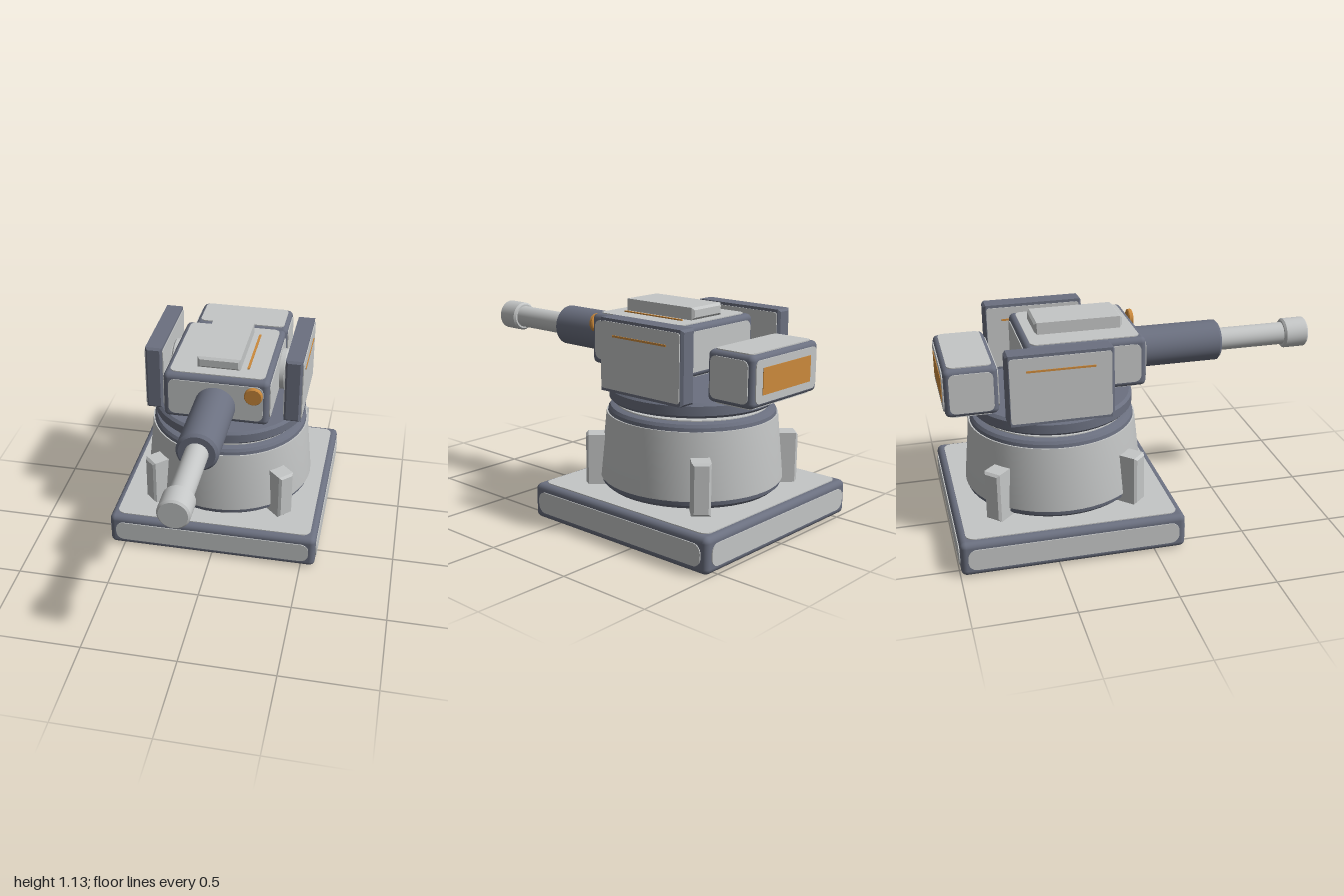
import * as THREE from 'three';
import { toCreasedNormals } from 'three/addons/utils/BufferGeometryUtils.js';
import { RoundedBoxGeometry } from 'three/addons/geometries/RoundedBoxGeometry.js';

const flat = (name, color) => {
  const m = new THREE.MeshStandardMaterial({ color });
  m.name = name;
  return m;
};

export function createModel() {
  const light = flat('light grey', 0xc4c6c6);
  const dark = flat('slate grey', 0x6b7080);
  const orange = flat('amber', 0xcc8a3c);
  const model = new THREE.Group();
  model.name = 'turret';
  const CZ = -0.417; // turning axis

  const add = (name, geo, mat, x = 0, y = 0, z = 0, parent = model) => {
    const mesh = new THREE.Mesh(geo, mat);
    mesh.name = name;
    mesh.position.set(x, y, z);
    parent.add(mesh);
    return mesh;
  };

  // Solid of revolution from [radius, height] points, bottom to top
  const turned = (pts, segments = 48) => toCreasedNormals(
    new THREE.LatheGeometry(pts.map(([r, h]) => new THREE.Vector2(r, h)), segments), 0.4);

  // Cylinder with chamfered rims
  const drum = (r, y0, y1, c, segments) => turned(
    [[0, y0], [r - c, y0], [r, y0 + c], [r, y1 - c], [r - c, y1], [0, y1]], segments);

  const roundedRect = (w, h, r) => {
    const s = new THREE.Shape();
    const x = w / 2, y = h / 2, q = Math.PI / 2;
    s.absarc(x - r, y - r, r, 0, q);
    s.absarc(-x + r, y - r, r, q, 2 * q);
    s.absarc(-x + r, -y + r, r, 2 * q, 3 * q);
    s.absarc(x - r, -y + r, r, 3 * q, 4 * q);
    return s;
  };

  // Box with straight chamfers on every edge
  const chamferBox = (w, h, d, c) => {
    const x = w / 2 - c, y = h / 2 - c;
    const s = new THREE.Shape([[-x, -y], [x, -y], [x, y], [-x, y]].map((p) => new THREE.Vector2(...p)));
    const g = new THREE.ExtrudeGeometry(s, {
      depth: d - 2 * c, bevelEnabled: true, bevelSize: c, bevelThickness: c, bevelSegments: 1,
    });
    return g.translate(0, 0, -d / 2 + c);
  };

  // Thin rounded plates on the faces of a w x h x d box
  const T = 0.005;
  const faces = {
    front: [0, 0, 1], back: [0, 0, -1], right: [-1, 0, 0],
    left: [1, 0, 0], top: [0, 1, 0], bottom: [0, -1, 0],
  };
  const addPlates = (parent, size, inset, radius, names = Object.keys(faces)) => {
    const [w, h, d] = size;
    for (const name of names) {
      const [nx, ny, nz] = faces[name];
      const a = nx ? d : w, b = ny ? d : h;
      const geo = new THREE.ExtrudeGeometry(roundedRect(a - 2 * inset, b - 2 * inset, radius),
        { depth: T + 0.002, bevelEnabled: false, curveSegments: 6 });
      geo.translate(0, 0, -0.002);
      const plate = add(name + 'Plate', geo, light, nx * w / 2, ny * h / 2, nz * d / 2, parent);
      plate.rotation.set(-ny * Math.PI / 2, nx ? nx * Math.PI / 2 : nz < 0 ? Math.PI : 0, 0);
    }
  };
  const framedBox = (name, size, pos, round, inset, radius) => {
    const g = new THREE.Group();
    g.name = name;
    g.position.set(...pos);
    model.add(g);
    add(name + 'Frame', new RoundedBoxGeometry(...size, 3, round), dark, 0, 0, 0, g);
    addPlates(g, size, inset, radius);
    return g;
  };

  // Square base
  framedBox('base', [1.156, 0.185, 1.156], [0, 0.0975, CZ], 0.03, 0.036, 0.045);

  // Tapered pedestal with dark bands
  add('pedestalFoot', turned([[0, 0.2], [0.44, 0.2], [0.463, 0.22], [0.467, 0.245], [0, 0.245]]), dark, 0, 0, CZ);
  add('pedestalBody', turned([[0, 0.243], [0.472, 0.243], [0.472, 0.25], [0.44, 0.582], [0, 0.582]]), light, 0, 0, CZ);
  add('pedestalCap', turned([[0, 0.58], [0.433, 0.58], [0.43, 0.6], [0.42, 0.615], [0.4, 0.622], [0, 0.622]]), dark, 0, 0, CZ);
  add('pedestalTopDisc', drum(0.39, 0.62, 0.629, 0.002), light, 0, 0, CZ);

  // Four diagonal buttresses
  for (let i = 0; i < 4; i++) {
    const a = Math.PI / 4 + i * Math.PI / 2;
    add('buttress', chamferBox(0.095, 0.265, 0.15, 0.012), light,
      Math.sin(a) * 0.472, 0.3275, CZ + Math.cos(a) * 0.472).rotation.y = a;
  }

  // Turntable
  add('turntable', drum(0.426, 0.645, 0.72, 0.014), dark, 0, 0, CZ);

  // Gun head, hatch and top stripe
  const headZ = -0.277;
  framedBox('head', [0.56, 0.26, 0.612], [0, 0.934, headZ], 0.028, 0.029, 0.035);
  add('hatch', chamferBox(0.228, 0.062, 0.455, 0.012), light, 0, 1.1, -0.283);
  add('topStripe', new THREE.BoxGeometry(0.012, 0.008, 0.385), orange, 0.152, 1.071, -0.28);

  // Side shields with trunnions and stripes
  for (const s of [1, -1]) {
    const shield = new THREE.Group();
    shield.name = s > 0 ? 'leftShield' : 'rightShield';
    shield.position.set(s * 0.38, 0.905, -0.44);
    model.add(shield);
    const size = [0.092, 0.368, 0.536];
    add('shieldFrame', chamferBox(...size, 0.012), dark, 0, 0, 0, shield);
    addPlates(shield, size, 0.015, 0.015, ['left', 'right']);
    add('shieldStripe', new THREE.BoxGeometry(0.008, 0.01, 0.345), orange, s * 0.051, 0.1, 0, shield);
    if (s > 0) add('innerStripe', new THREE.BoxGeometry(0.008, 0.01, 0.345), orange, -0.051, 0.1, 0, shield);

    add('trunnion', drum(0.112, 0.27, 0.318, 0.008, 32), light, 0, 0.908, CZ).rotation.z = -s * Math.PI / 2;
    add('trunnionPin', drum(0.08, 0.3, 0.345, 0.004, 32), light, 0, 0.908, CZ).rotation.z = -s * Math.PI / 2;
  }

  // Rear counterweight with amber panel
  const rear = framedBox('counterweight', [0.535, 0.255, 0.268], [0, 0.855, -0.859], 0.028, 0.024, 0.03);
  add('rearPanel', new THREE.BoxGeometry(0.385, 0.13, 0.006), orange, 0, 0, -0.139, rear);

  // Barrel, pointing forward
  const barrel = new THREE.Group();
  barrel.name = 'barrel';
  barrel.position.set(0, 0.909, 0);
  barrel.rotation.x = Math.PI / 2;
  model.add(barrel);
  add('barrelSleeve', drum(0.108, 0.03, 0.497, 0.014, 40), dark, 0, 0, 0, barrel);
  add('barrelTube', drum(0.06, 0.45, 0.9, 0.004, 32), light, 0, 0, 0, barrel);
  add('muzzle', drum(0.08, 0.866, 1.0, 0.01, 32), light, 0, 0, 0, barrel);

  // Sensor lens
  add('lens', drum(0.048, 0.053, 0.078, 0.005, 24), orange, 0.205, 1.0, 0).rotation.x = Math.PI / 2;

  return model;
}
